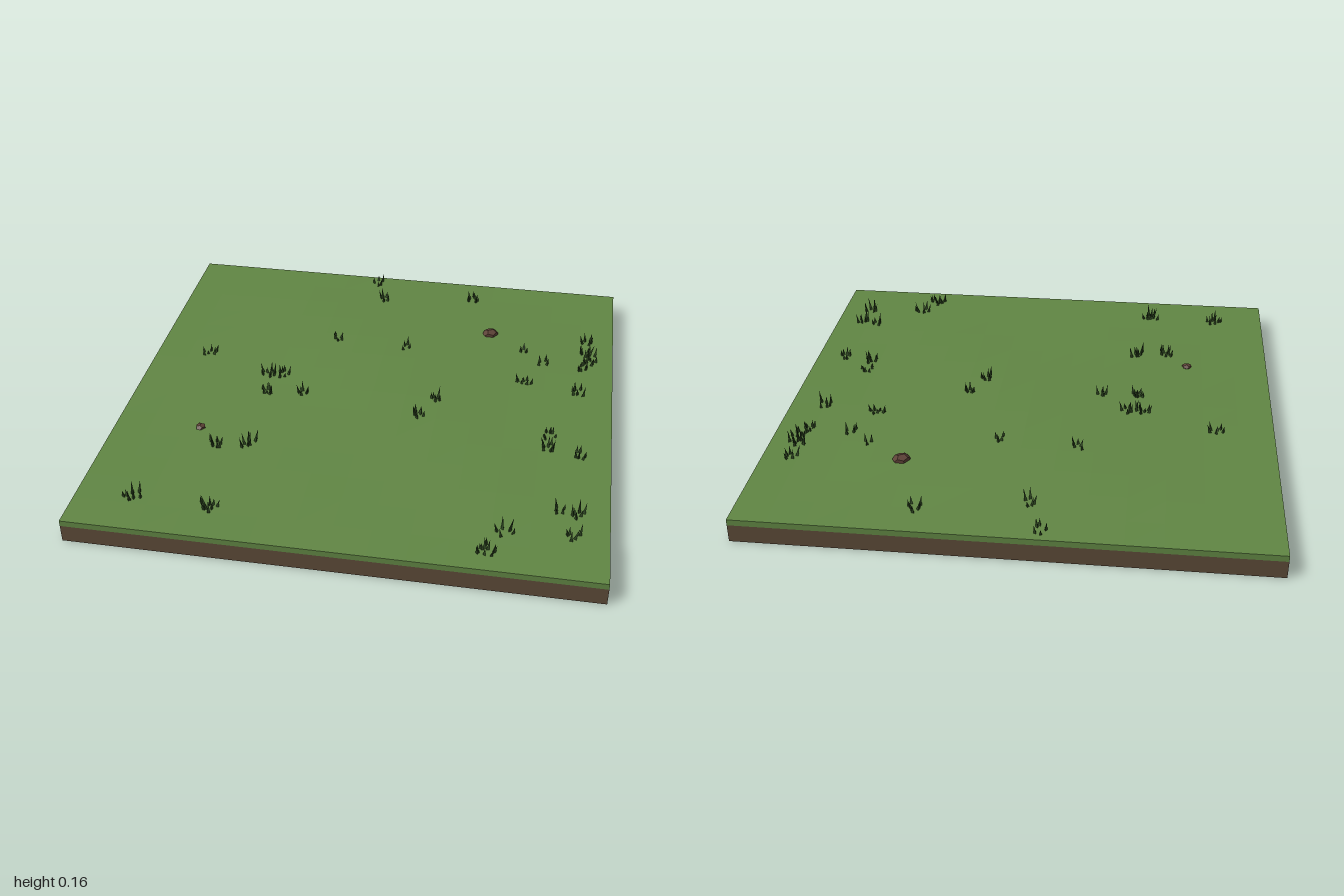
import * as THREE from 'three';
import { mergeGeometries } from 'three/addons/utils/BufferGeometryUtils.js';

const material = (name, color, flatShading = true) => {
  const m = new THREE.MeshStandardMaterial({ color, flatShading });
  m.name = name;
  return m;
};

// Small seeded random generator
function seeded(seed) {
  let s = seed;
  return () => {
    s = (s * 16807) % 2147483647;
    return s / 2147483647;
  };
}

// Gentle mound that falls to a level rim
const RIM = 0.094;
function groundY(x, z) {
  const fade = Math.min(1, (1 - Math.abs(x)) * 2.5) * Math.min(1, (1 - Math.abs(z)) * 3);
  const mound = 0.017 * Math.exp(-(x * x) / 0.3 - ((z + 0.3) ** 2) / 0.45);
  const ripple = 0.002 * Math.sin(x * 7 + 1) * Math.cos(z * 6);
  return RIM + Math.max(0, fade) * (mound + ripple);
}

export function createModel() {
  const model = new THREE.Group();
  model.name = 'grassTile';
  const soilMat = material('soil brown', 0x5c4a38);
  const grassMat = material('grass green', 0x618644);
  const bladeMat = material('blade dark green', 0x2c4420);
  const rockMat = material('rock brown', 0x5b4035);

  const add = (name, geometry, mat, x = 0, y = 0, z = 0) => {
    const mesh = new THREE.Mesh(geometry, mat);
    mesh.name = name;
    mesh.position.set(x, y, z);
    model.add(mesh);
    return mesh;
  };

  // Soil slab
  add('soil', new THREE.BoxGeometry(2, 0.07, 2), soilMat, 0, 0.035, 0);

  // Turf slab with an undulating top
  const turf = new THREE.BoxGeometry(2, 0.024, 2, 14, 1, 14);
  turf.translate(0, 0.082, 0);
  const p = turf.attributes.position;
  for (let i = 0; i < p.count; i++) {
    if (p.getY(i) > 0.09) p.setY(i, groundY(p.getX(i), p.getZ(i)));
  }
  turf.computeVertexNormals();
  add('turf', turf, grassMat);

  // Grass tufts: x, z, number of blades
  const tufts = [
    [-0.13, -0.94, 5], [-0.08, -0.79, 5], [0.34, -0.86, 8], [-0.22, -0.39, 5],
    [0.09, -0.37, 4], [0.61, -0.44, 3], [0.70, -0.36, 4], [0.89, -0.56, 5],
    [0.89, -0.46, 8], [0.90, -0.40, 8], [0.87, -0.34, 7], [0.63, -0.19, 8],
    [0.85, -0.15, 6], [-0.77, -0.20, 6], [-0.47, -0.07, 7], [-0.41, -0.07, 8],
    [-0.44, 0.06, 9], [-0.29, 0.05, 6], [0.27, 0.01, 5], [0.21, 0.13, 7],
    [0.75, 0.17, 6], [0.75, 0.26, 8], [0.87, 0.29, 7], [-0.56, 0.45, 7],
    [-0.43, 0.43, 7], [-0.78, 0.82, 8], [-0.48, 0.83, 9], [0.81, 0.63, 5],
    [0.88, 0.65, 6], [0.62, 0.79, 5], [0.86, 0.77, 5], [0.56, 0.90, 11],
  ];
  const random = seeded(4127);
  tufts.forEach(([x, z, count], t) => {
    const tall = 0.8 + random() * 0.45;
    const blades = [];
    for (let i = 0; i < count; i++) {
      const angle = (i / count) * Math.PI * 2 + random();
      const reach = 0.01 + random() * 0.024;
      const height = (0.026 + random() * 0.028) * tall;
      // Three-sided blade leaning outwards
      const blade = new THREE.ConeGeometry(0.0075, height, 3);
      blade.translate(0, height / 2 - 0.003, 0);
      blade.rotateY(random() * 6);
      blade.rotateZ(-0.08 - random() * 0.22);
      blade.rotateY(-angle);
      const bx = x + Math.cos(angle) * reach, bz = z + Math.sin(angle) * reach;
      blade.translate(bx, groundY(bx, bz), bz);
      blades.push(blade);
    }
    add('grassTuft' + (t + 1), mergeGeometries(blades), bladeMat);
  });

  // Two low, faceted rocks
  for (const [name, x, z, r, h, turn] of [
    ['largeRock', 0.45, -0.55, 0.036, 0.02, 0.5],
    ['smallRock', -0.65, 0.35, 0.024, 0.012, 1.4],
  ]) {
    const rock = add(name, new THREE.DodecahedronGeometry(1, 0), rockMat, x, groundY(x, z) + h * 0.2, z);
    rock.scale.set(r, h, r * 0.9);
    rock.rotation.y = turn;
  }
  return model;
}
